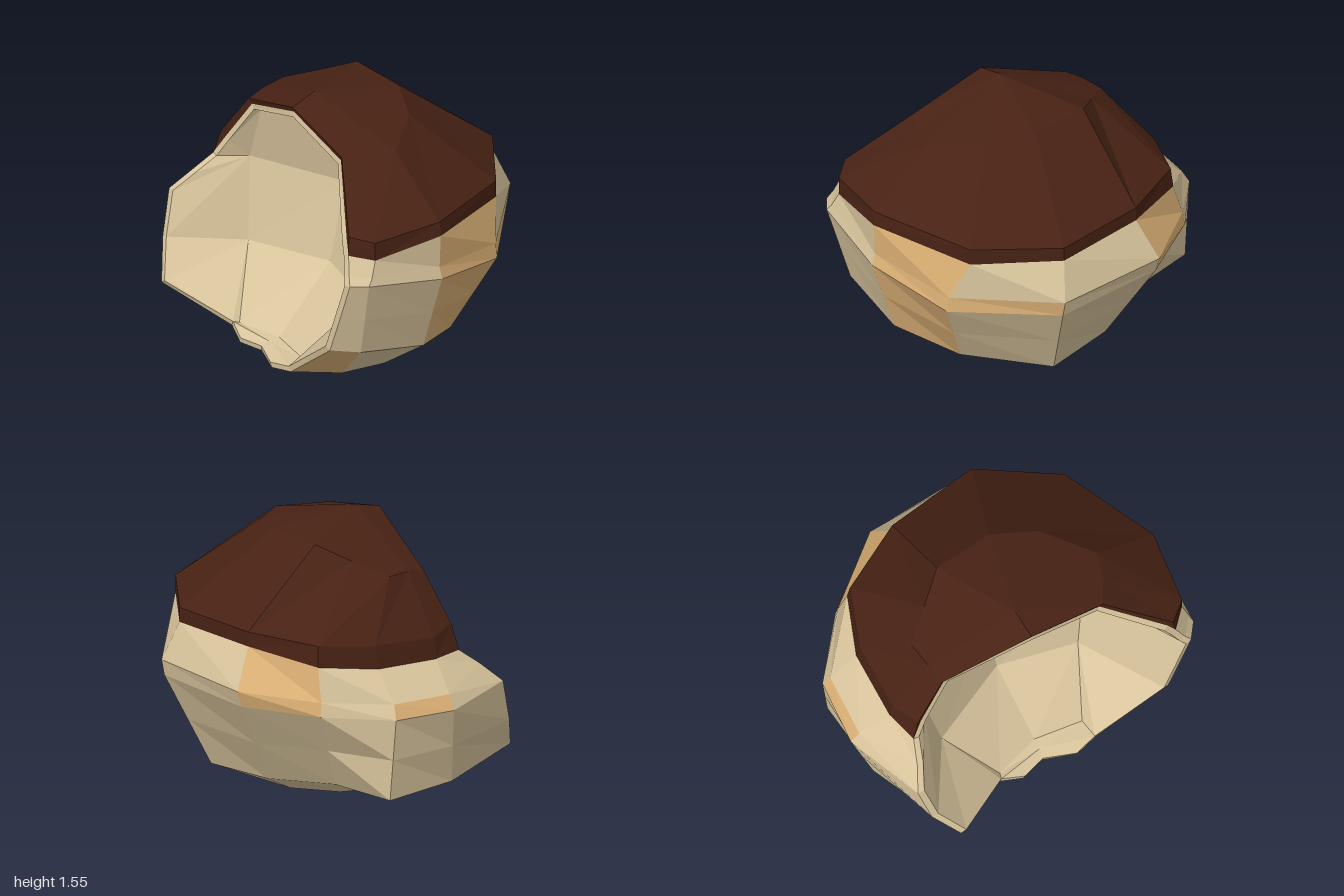
import * as THREE from 'three';

const paint = (color) => new THREE.MeshStandardMaterial({ color, flatShading: true, side: THREE.DoubleSide });
const midLine = (p, q) => p.map((a, i) => a.map((v, k) => (v + q[i][k]) / 2));

// Collects quads and triangles into one flat-shaded mesh
function facets(name, material) {
  const pos = [];
  return {
    tri(a, b, c) { pos.push(...a, ...b, ...c); },
    quad(a, b, c, d) { this.tri(a, b, c); this.tri(a, c, d); },
    // fan of triangles from a centre to a line of points
    fan(centre, pts) { for (let i = 0; i + 1 < pts.length; i++) this.tri(centre, pts[i], pts[i + 1]); },
    // band between two lines with the same number of points
    band(p, q) { for (let i = 0; i + 1 < p.length; i++) this.quad(p[i], p[i + 1], q[i + 1], q[i]); },
    mesh() {
      const g = new THREE.BufferGeometry();
      g.setAttribute('position', new THREE.Float32BufferAttribute(pos, 3));
      g.computeVertexNormals();
      const m = new THREE.Mesh(g, material);
      m.name = name;
      return m;
    },
  };
}

// Edge of the opening, from the floor up on both sides
const rimRight = [[.27, .03, .68], [.7, .38, .76], [.78, .61, .755], [.86, .85, .75], [.83, .9, .73], [.79, 1.0, .7], [.75, 1.08, .68], [.44, 1.37, .46]];
const rimLeft = [[-.33, .04, .6], [-.71, .22, .79], [-.83, .42, .68], [-.87, .68, .6], [-.8, .79, .49], [-.75, .88, .38], [-.68, 1.0, .35], [-.5, 1.27, .31]];
const rimFloor = [[-.2, .005, .65], [-.05, .005, .62], [.13, .005, .7]];
const rimTop = [0, 1.48, .43];
const inset = ([x, y, z]) => [x * .955, .74 + (y - .74) * .955, z + .005];

// Outer rings run from the left corner round the back to the right corner
const shellRings = [
  [[-.42, .03, .42], [-.4, .03, .12], [-.3, .03, -.1], [-.05, .02, -.25], [.25, .02, -.25], [.47, .02, -.05], [.53, .03, .22], [.45, .02, .46]],
  [[-.9, .19, .2], [-.9, .18, -.25], [-.5, .18, -.31], [-.12, .15, -.48], [.3, .135, -.53], [.66, .18, -.15], [.84, .27, .2], [.8, .36, .62]],
  [[-1, .65, .13], [-.94, .66, -.24], [-.65, .67, -.54], [-.24, .675, -.77], [.43, .675, -.76], [.88, .66, -.3], [1, .76, .2], [.93, .85, .67]],
  [[-.95, .73, .14], [-.9, .74, -.22], [-.64, .75, -.53], [-.24, .77, -.8], [.43, .77, -.78], [.87, .75, -.3], [.98, .83, .2], [.92, .89, .64]],
  [[-.78, .88, .19], [-.74, .9, -.2], [-.59, .94, -.51], [-.18, .99, -.67], [.37, .99, -.7], [.78, .98, -.38], [.99, 1.03, .2], [.9, .98, .6]],
];
const capRings = [
  [[-.76, 1.0, .19], [-.72, 1.03, -.2], [-.58, 1.06, -.5], [-.18, 1.075, -.67], [.37, 1.075, -.7], [.78, 1.08, -.38], [.98, 1.115, .2], [.9, 1.09, .6]],
  [[-.53, 1.325, .2], [-.54, 1.33, .05], [-.37, 1.405, -.075], [-.2, 1.485, -.2], [.15, 1.485, -.2], [.4, 1.45, -.07], [.6, 1.4, .2], [.55, 1.39, .34]],
];
// Shallow cavity wall: three columns at four heights
const cavityRows = [
  [[-.3, .06, .57], [-.03, .06, .51], [.25, .06, .57]],
  [[-.52, .4, .32], [-.03, .41, .14], [.42, .41, .28]],
  [[-.59, .88, .25], [-.03, .88, .035], [.52, .88, .18]],
  [[-.46, 1.24, .28], [-.03, 1.35, .14], [.35, 1.35, .24]],
];
// Cavity row that each rim point joins
const joinRow = [0, 1, 1, 2, 2, 2, 2, 3];

export function createModel() {
  const group = new THREE.Group();
  const beige = paint(0xd8c49c), tan = paint(0xdbb075), brown = paint(0x482214);

  // Outer shell, with some facets in a warmer tone
  const shell = facets('outerShell', beige), warm = facets('warmShellFacets', tan);
  const [base, low, wide, lip, top] = shellRings;
  const rings = [base, low, midLine(low, wide), wide, lip, top].map((r, i) => [rimLeft[i], ...r, rimRight[i]]);
  const warmFacets = new Set(['0:8', '1:6', '2:6', '3:6', '4:6', '3:3', '4:3', '3:1', '3:5']);
  for (let i = 0; i < 5; i++) {
    for (let j = 0; j < 9; j++) {
      const part = warmFacets.has(i + ':' + j) ? warm : shell;
      part.quad(rings[i][j], rings[i + 1][j], rings[i + 1][j + 1], rings[i][j + 1]);
    }
  }
  // Flat underside
  shell.fan([.05, .02, .2], [...rings[0], ...[...rimFloor].reverse(), rings[0][0]]);
  group.add(shell.mesh(), warm.mesh());

  // Rim around the opening
  const rim = facets('openingRim', beige);
  const loop = [...rimFloor, ...rimRight, rimTop, ...[...rimLeft].reverse(), rimFloor[0]];
  rim.band(loop, loop.map(inset));
  group.add(rim.mesh());

  // Hollow inside: back wall, then side walls joining it to the rim
  const cavity = facets('cavity', beige);
  for (let i = 0; i < 3; i++) cavity.band(cavityRows[i], cavityRows[i + 1]);
  const innerLeft = rimLeft.map(inset), innerRight = rimRight.map(inset);
  for (const [edge, col, flip] of [[innerLeft, 0, false], [innerRight, 2, true]]) {
    const face = (a, b, c) => (flip ? cavity.tri(a, b, c) : cavity.tri(a, c, b));
    for (let i = 0; i < 7; i++) {
      const from = cavityRows[joinRow[i]][col], to = cavityRows[joinRow[i + 1]][col];
      face(edge[i], edge[i + 1], to);
      if (from !== to) face(edge[i], to, from);
    }
  }
  cavity.fan([-.03, .05, .57], [innerLeft[0], ...rimFloor.map(inset), innerRight[0], ...[...cavityRows[0]].reverse(), innerLeft[0]]);
  cavity.fan(inset(rimTop), [innerRight[7], ...[...cavityRows[3]].reverse(), innerLeft[7]]);
  group.add(cavity.mesh());

  // Cap with a short upright brim and a faceted crown
  const cap = facets('cap', brown);
  const outset = ([x, y, z]) => [x * 1.04, y + .03, z + .01];
  const capLevels = [top, ...capRings].map((r, i) => [
    i ? outset(rimLeft[5 + i]) : rimLeft[5], ...r, i ? outset(rimRight[5 + i]) : rimRight[5],
  ]);
  cap.band(capLevels[1], capLevels[0]);
  cap.band(capLevels[2], capLevels[1]);
  const brow = outset(rimTop);
  cap.fan([0, 1.555, .28], [brow, ...capLevels[2], brow].reverse());
  // Front edge of the cap down to the rim
  cap.band(
    [...capLevels.map((r) => r[9]), brow, ...[...capLevels].reverse().map((r) => r[0])],
    [...rimRight.slice(5), rimTop, ...rimLeft.slice(5).reverse()],
  );
  group.add(cap.mesh());

  return group;
}
